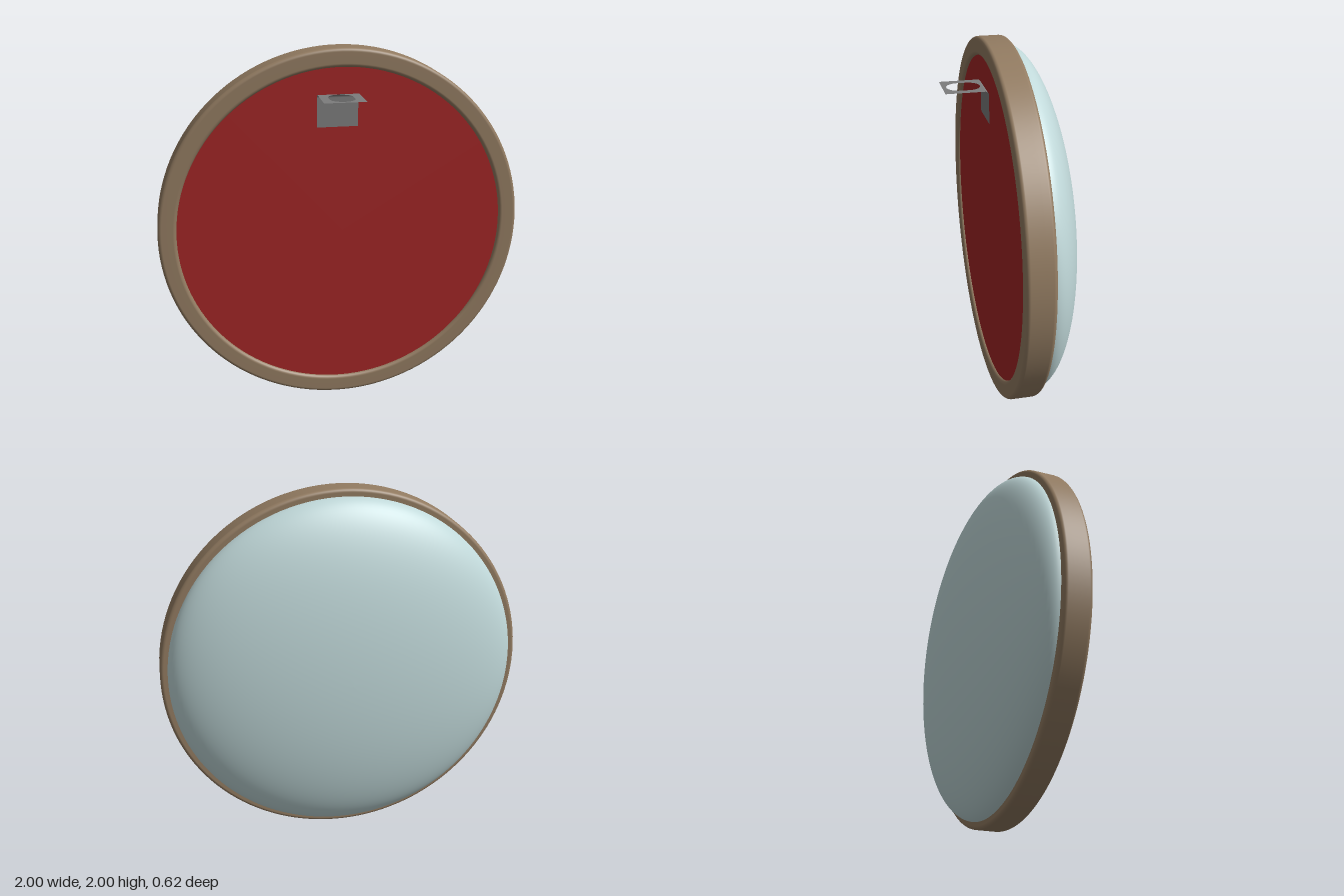
import * as THREE from 'three';

const paint = (name, color, side = THREE.FrontSide) => {
  const m = new THREE.MeshStandardMaterial({ color, side });
  m.name = name;
  return m;
};

export function createModel() {
  const bronze = paint('bronze', 0x927b61);
  const paleBlue = paint('paleBlue', 0xc0d8d9);
  const red = paint('red', 0xa12525);
  const grey = paint('grey', 0x7c7c7c, THREE.DoubleSide);

  const model = new THREE.Group();
  model.name = 'roundShield';
  const add = (name, geometry, material, parent = model) => {
    const mesh = new THREE.Mesh(geometry, material);
    mesh.name = name;
    parent.add(mesh);
    return mesh;
  };
  // Lathe around the z axis, centred at y = 1
  const turn = (points) => new THREE.LatheGeometry(points, 128).rotateX(Math.PI / 2).translate(0, 1, 0);

  // Rim: rounded rectangular section (radius, depth)
  const inner = 0.9, outer = 1, back = -0.053, front = 0.097, c = 0.02;
  const section = [new THREE.Vector2(outer, 0)];
  const corners = [[outer - c, front - c], [inner + c, front - c], [inner + c, back + c], [outer - c, back + c]];
  corners.forEach(([r, z], k) => {
    for (let i = 0; i <= 8; i++) {
      const a = (k + i / 8) * Math.PI / 2;
      section.push(new THREE.Vector2(r + c * Math.cos(a), z + c * Math.sin(a)));
    }
  });
  section.push(section[0].clone());
  add('rim', turn(section), bronze);

  // Domed back: half ellipse from the apex out to the rim
  const dome = [];
  for (let i = 0; i <= 32; i++) {
    const a = (i / 32) * Math.PI / 2;
    dome.push(new THREE.Vector2(0.96 * Math.sin(a), -0.05 - 0.262 * Math.cos(a)));
  }
  add('dome', turn(dome), paleBlue);

  // Flat front panel, slightly recessed in the rim
  add('frontPanel', new THREE.CircleGeometry(0.91, 128).translate(0, 1, 0.08), red);

  // Sheet bracket: upright plate, small bend, and a forward tab with a slot
  const bracket = new THREE.Group();
  bracket.name = 'bracket';
  model.add(bracket);
  const midX = -0.025, width = 0.22, bottom = 1.585, top = 1.762, wall = 0.085, bend = 0.02, tip = 0.312;

  const plateHeight = top - bend - bottom;
  add('bracketPlate', new THREE.PlaneGeometry(width, plateHeight)
    .translate(midX, bottom + plateHeight / 2, wall), grey, bracket);

  add('bracketBend', new THREE.CylinderGeometry(bend, bend, width, 8, 1, true, Math.PI, Math.PI / 2)
    .rotateZ(Math.PI / 2).rotateX(Math.PI / 2)
    .translate(midX, top - bend, wall + bend), grey, bracket);

  const tab = new THREE.Shape();
  const h = width / 2, z0 = wall + bend;
  tab.moveTo(-h, z0).lineTo(h, z0).lineTo(h, tip).lineTo(-h, tip).closePath();
  const slot = new THREE.Path();
  const r = 0.066, near = 0.112 + r, far = 0.29 - r;
  slot.absarc(0, far, r, 0, Math.PI, false);
  slot.absarc(0, near, r, Math.PI, Math.PI * 2, false);
  slot.closePath();
  tab.holes.push(slot);
  add('bracketTab', new THREE.ShapeGeometry(tab, 16).rotateX(Math.PI / 2).translate(midX, top, 0), grey, bracket);

  return model;
}
